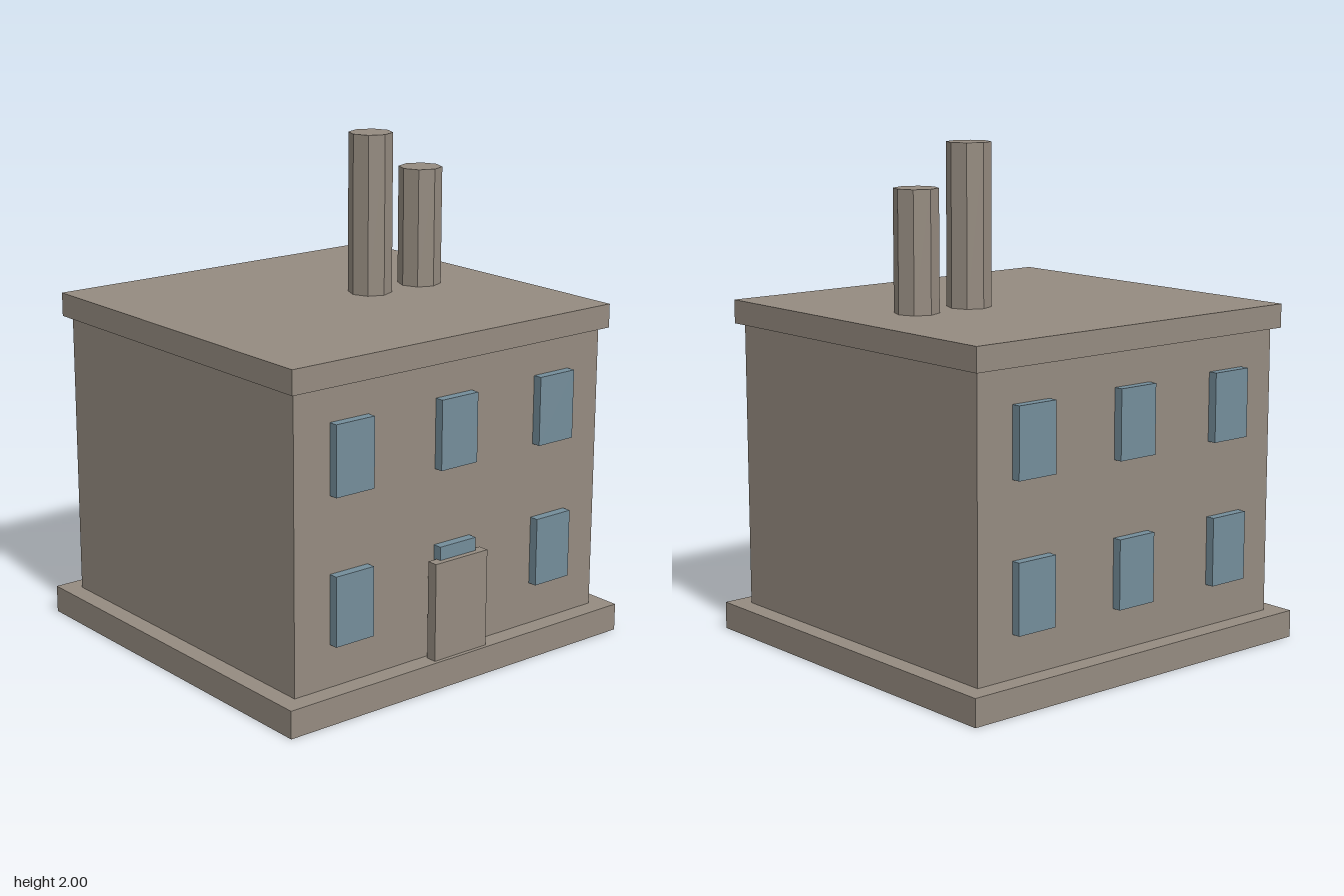
import * as THREE from 'three';

export function createModel() {
  const model = new THREE.Group();
  model.name = 'factory';

  const stone = new THREE.MeshStandardMaterial({ color: 0x958b80 });
  stone.name = 'stone';
  const glass = new THREE.MeshStandardMaterial({ color: 0x748d9a });
  glass.name = 'blueGlass';

  // Box given by its size, centre x and z, and bottom height
  function box(name, material, [w, h, d], x, bottom, z) {
    const mesh = new THREE.Mesh(new THREE.BoxGeometry(w, h, d), material);
    mesh.name = name;
    mesh.position.set(x, bottom + h / 2, z);
    model.add(mesh);
  }

  // Plinth, walls and overhanging roof slab
  box('plinth', stone, [1.66, 0.11, 1.59], 0, 0, 0);
  box('walls', stone, [1.51, 1.155, 1.438], 0, 0.11, 0);
  box('roof', stone, [1.565, 0.095, 1.5], 0, 1.265, 0);

  // Door slab, standing slightly clear of the front wall
  box('door', stone, [0.26, 0.39, 0.044], 0, 0.11, 0.757);

  // Two rows of three windows on the front and back
  for (const [side, z] of [['front', 0.737], ['back', -0.737]]) {
    for (const bottom of [0.279, 0.853]) {
      for (const x of [-0.502, 0, 0.502]) {
        box(side + 'Window', glass, [0.178, 0.274, 0.038], x, bottom, z);
      }
    }
  }

  // Octagonal chimneys
  for (const [name, x, top] of [['tallChimney', 0.19, 2], ['shortChimney', 0.45, 1.837]]) {
    const height = top - 1.36;
    const geometry = new THREE.CylinderGeometry(0.088, 0.088, height, 8).toNonIndexed();
    geometry.computeVertexNormals();
    const chimney = new THREE.Mesh(geometry, stone);
    chimney.name = name;
    chimney.position.set(x, 1.36 + height / 2, 0);
    model.add(chimney);
  }

  return model;
}
